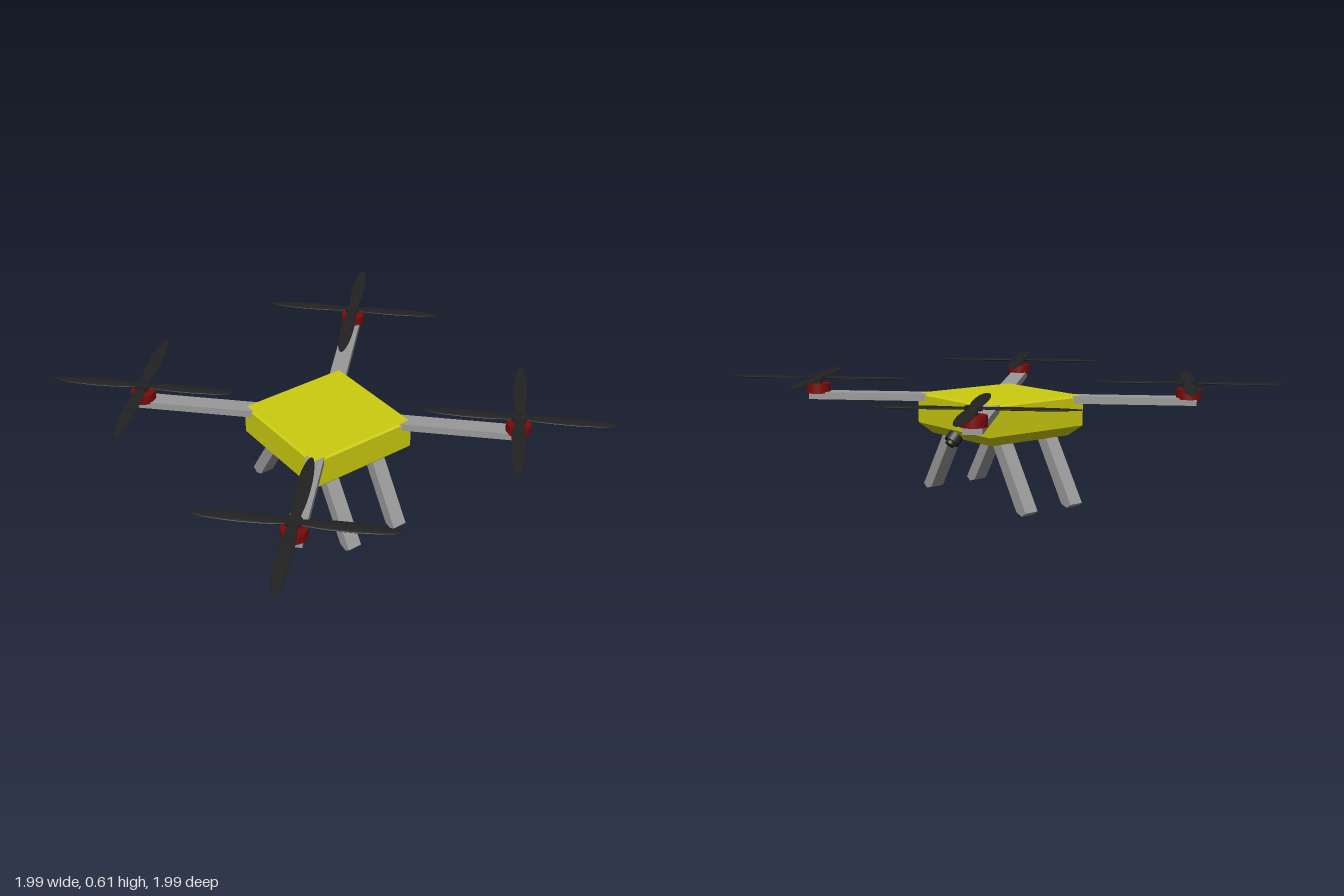
import * as THREE from 'three';

const paint = (color, flat = true) => new THREE.MeshStandardMaterial({ color, flatShading: flat });

export function createModel() {
  const drone = new THREE.Group();
  drone.name = 'quadcopter';
  const yellow = paint(0xcccc10), grey = paint(0x999999);
  const red = paint(0x7c0a0a, false), black = paint(0x222222, false);

  const add = (parent, name, geometry, material, x = 0, y = 0, z = 0) => {
    const mesh = new THREE.Mesh(geometry, material);
    mesh.name = name;
    mesh.position.set(x, y, z);
    parent.add(mesh);
    return mesh;
  };

  // Square body with a chamfered belly and a fine bevel round the top
  const profile = [[0, 0.325], [0.243, 0.325], [0.295, 0.377], [0.295, 0.52], [0.285, 0.53], [0, 0.53]]
    .map(([half, y]) => new THREE.Vector2(half * Math.SQRT2, y));
  add(drone, 'body', new THREE.LatheGeometry(profile, 4, Math.PI / 4), yellow);

  // Each rotor unit points along +x, then turns to its diagonal
  const reach = 0.662 * Math.SQRT2;
  const armGeo = new THREE.BoxGeometry(0.68, 0.037, 0.085);
  const motorGeo = new THREE.CylinderGeometry(0.061, 0.061, 0.048, 32);
  const shaftGeo = new THREE.CylinderGeometry(0.02, 0.02, 0.035, 16);
  const hubGeo = new THREE.CylinderGeometry(0.04, 0.04, 0.018, 24);
  const bladeGeo = new THREE.SphereGeometry(1, 32, 16);
  bladeGeo.scale(0.242, 0.006, 0.035);
  bladeGeo.translate(0.224, 0, 0);

  for (let i = 0; i < 4; i++) {
    const unit = new THREE.Group();
    unit.name = 'rotorUnit';
    unit.rotation.y = Math.PI / 4 + i * Math.PI / 2;
    drone.add(unit);
    add(unit, 'arm', armGeo, grey, 0.636, 0.5105, 0);
    add(unit, 'motor', motorGeo, red, reach, 0.546, 0);
    add(unit, 'shaft', shaftGeo, black, reach, 0.583, 0);
    add(unit, 'hub', hubGeo, black, reach, 0.6, 0);
    for (let b = 0; b < 4; b++) {
      add(unit, 'blade', bladeGeo, black, reach, 0.6, 0).rotation.y = b * Math.PI / 2;
    }
  }

  // Splayed legs with clipped feet
  const legShape = new THREE.Shape([
    [0.15, 0.35], [0.355, 0.014], [0.396, 0], [0.424, 0.02], [0.22, 0.35],
  ].map(([x, y]) => new THREE.Vector2(x, y)));
  const legGeo = new THREE.ExtrudeGeometry(legShape, { depth: 0.075, bevelEnabled: false });
  legGeo.translate(0, 0, -0.0375);
  for (const side of [0, Math.PI]) {
    for (const z of [-0.142, 0.142]) {
      add(drone, 'leg', legGeo, grey, 0, 0, z).rotation.y = side;
    }
  }

  // Camera under the rear edge, tilted down and backward
  const camera = new THREE.Group();
  camera.name = 'camera';
  camera.position.set(0, 0.332, -0.288);
  camera.rotation.x = Math.PI / 4;
  drone.add(camera);
  add(camera, 'cameraHousing', new THREE.CylinderGeometry(0.039, 0.039, 0.044, 24), black);
  add(camera, 'cameraLens', new THREE.CylinderGeometry(0.024, 0.024, 0.078, 24), black);

  return drone;
}
